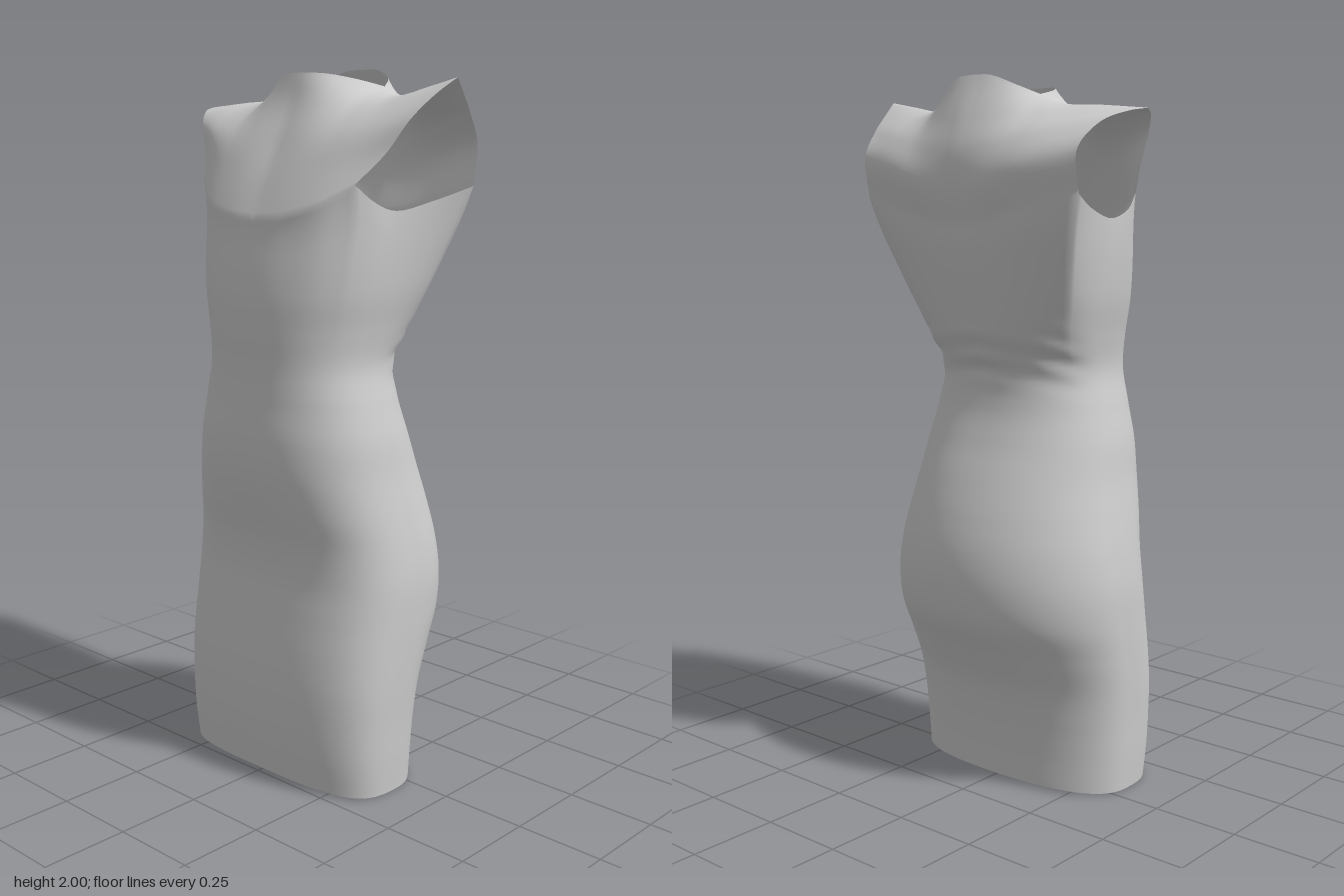
import * as THREE from 'three';
import { mergeGeometries, mergeVertices } from 'three/addons/utils/BufferGeometryUtils.js';

const N = 18;        // segments across one panel (a third of a half ring)
const ROWS = 120;    // rows of the fitted tube
const TOP = 1.62;    // nominal height of the tube
const SHIFT = 0.006; // slight sideways drape
const V = (p) => new THREE.Vector3(...p);
const curve = (...pts) => new THREE.CatmullRomCurve3(pts.map(V), false, 'centripetal');
const smooth = THREE.MathUtils.smoothstep;

// Half width, front z, back z for every 0.1 of height
const body = new THREE.CatmullRomCurve3([
  [0.36, 0.25, -0.125], [0.366, 0.262, -0.132], [0.37, 0.267, -0.145], [0.375, 0.266, -0.168],
  [0.379, 0.258, -0.215], [0.382, 0.246, -0.268], [0.381, 0.236, -0.287], [0.369, 0.242, -0.283],
  [0.35, 0.266, -0.26], [0.329, 0.285, -0.225], [0.313, 0.29, -0.184], [0.288, 0.284, -0.152],
  [0.265, 0.282, -0.147], [0.273, 0.288, -0.185], [0.29, 0.293, -0.203], [0.302, 0.286, -0.222],
  [0.315, 0.258, -0.25], [0.33, 0.212, -0.268], [0.34, 0.16, -0.272]].map(V), false, 'catmullrom');

// Upper rim of the tube: chest, underarm, back
const chest = curve([0, 1.6, 0.258], [0.09, 1.605, 0.255], [0.2, 1.635, 0.228], [0.288, 1.69, 0.168]);
const underarm = curve([0.288, 1.69, 0.168], [0.305, 1.645, 0.11], [0.312, 1.62, 0.03], [0.34, 1.645, -0.1], [0.382, 1.68, -0.21]);
const backRim = curve([0.382, 1.68, -0.21], [0.22, 1.645, -0.25], [0.1, 1.61, -0.252], [0, 1.6, -0.25]);
const rim = (t) => {
  const k = Math.min(2, Math.floor(t * 3 + 1e-6));
  return [chest, underarm, backRim][k].getPoint(Math.min(1, Math.max(0, t * 3 - k)));
};

// Grid of points f(u, v) on one side of the dress, mirrored by s
function grid(nu, nv, s, flip, f) {
  const pos = [], index = [];
  for (let j = 0; j <= nv; j++) for (let i = 0; i <= nu; i++) {
    const p = f(i / nu, j / nv);
    pos.push(s * p.x + SHIFT, p.y, p.z);
  }
  for (let j = 0; j < nv; j++) for (let i = 0; i < nu; i++) {
    const a = j * (nu + 1) + i, b = a + 1, c = a + nu + 1, d = c + 1;
    if ((s > 0) !== flip) index.push(a, b, d, a, d, c);
    else index.push(a, d, b, a, c, d);
  }
  const g = new THREE.BufferGeometry();
  g.setAttribute('position', new THREE.Float32BufferAttribute(pos, 3));
  g.setIndex(index);
  return g;
}

// Skirt and waist: rounded sections whose rows bend gradually into the rim
function tubePoint(t, v) {
  const a = t * Math.PI, cos = Math.cos(a), end = rim(t);
  const w = Math.max(0, (v * TOP - 1.15) / (TOP - 1.15)) ** 2;
  const y = v * TOP + (end.y - TOP) * w;
  const r = body.getPoint(y / 1.8);
  // square front on the skirt, round seat, broad upper back
  const square = cos > 0
    ? 3.2 - 0.75 * smooth(y, 0.5, 1.1)
    : 2.35 - 0.4 * Math.exp(-(((y - 0.7) / 0.3) ** 2)) + 0.6 * smooth(y, 1.2, 1.5);
  const e = 2 / square;
  const mid = (r.y + r.z) / 2, half = (r.y - r.z) / 2;
  const p = new THREE.Vector3(
    t === 1 ? 0 : r.x * Math.sin(a) ** e, y,
    mid + half * Math.sign(cos) * Math.abs(cos) ** e);
  p.x += (end.x - p.x) * w;
  p.z += (end.z - p.z) * w;
  // gathered folds at the back of the waist
  const gather = smooth(-cos, 0, 0.6) * Math.exp(-(((y - 1.24) / 0.065) ** 2));
  p.z += 0.006 * gather * Math.sin(y * 85 + p.x * p.x * 70) * (0.7 + 0.3 * Math.cos(p.x * 25));
  // hem lifts slightly at the front and back
  p.y += 0.014 * cos * cos * (1 - v) ** 20;
  return p;
}

// Coons patch between four edges; the neckline detail fades quickly below the
// top edge, and a soft bulge rounds the cloth over the shoulder
function patch(bottom, top, inner, outer, bulge) {
  const c00 = bottom(0), c10 = bottom(1), c01 = top(0), c11 = top(1);
  return (u, v) => {
    const line = c01.clone().lerp(c11, u);
    return inner(v).multiplyScalar(1 - u)
      .addScaledVector(outer(v), u)
      .addScaledVector(bottom(u), 1 - v)
      .addScaledVector(c00, -(1 - u) * (1 - v))
      .addScaledVector(c10, -u * (1 - v))
      .addScaledVector(top(u).sub(line), v ** 4)
      .addScaledVector(bulge, Math.sin(Math.PI * u) * v * (1 - v) * 4);
  };
}

function sideParts(s) {
  const lift = s > 0 ? 0.06 : 0; // the left shoulder tip flicks up
  const tip = [0.463, 1.9 + lift, -0.028];
  const neckSide = [0.16, 1.947, -0.095];
  const shoulder = curve(neckSide, [0.215, 1.922, -0.085], [0.34, 1.912 + lift * 0.45, -0.055], tip);
  const neckFront = curve([0, 1.983, 0.083], [0.04, 1.982, 0.079], [0.09, 1.978, 0.053], [0.14, 1.963, -0.015], neckSide);
  const neckBack = curve([0, 2, -0.188], [0.06, 1.997, -0.182], [0.12, 1.972, -0.155], neckSide);
  const topEdge = (neck) => (u) => (u <= 0.5 ? neck.getPoint(u * 2) : shoulder.getPoint(u * 2 - 1));
  const centreFront = curve([0, 1.6, 0.258], [0, 1.7, 0.212], [0, 1.8, 0.158], [0, 1.9, 0.108], [0, 1.983, 0.083]);
  const centreBack = curve([0, 1.6, -0.25], [0, 1.7, -0.268], [0, 1.79, -0.267], [0, 1.88, -0.24], [0, 2, -0.188]);
  const armFront = curve([0.288, 1.69, 0.168], [0.345, 1.77, 0.112], [0.395, 1.85 + lift * 0.1, 0.075], [0.435, 1.888 + lift * 0.5, 0.025], tip);
  const armBack = curve([0.382, 1.68, -0.21], [0.384, 1.79, -0.223], [0.408, 1.86 + lift * 0.1, -0.16], [0.44, 1.89 + lift * 0.5, -0.085], tip);
  const front = patch((u) => chest.getPoint(u), topEdge(neckFront),
    (v) => centreFront.getPoint(v), (v) => armFront.getPoint(v), V([0, 0.008, 0.018]));
  const back = patch((u) => backRim.getPoint(1 - u), topEdge(neckBack),
    (v) => centreBack.getPoint(v), (v) => armBack.getPoint(v), V([0, 0.004, -0.016]));
  return [
    grid(N * 3, ROWS, s, false, tubePoint),
    grid(N, 30, s, false, front),
    grid(N, 30, s, true, back),
  ];
}

export function createModel() {
  const group = new THREE.Group();
  group.name = 'dress';
  // All panels are welded so the cloth shades without seams
  const cloth = mergeVertices(mergeGeometries([...sideParts(1), ...sideParts(-1)]), 1e-4);
  cloth.computeVertexNormals();
  const mesh = new THREE.Mesh(cloth, new THREE.MeshStandardMaterial({ color: 0xcccccc, side: THREE.DoubleSide }));
  mesh.name = 'dressCloth';
  group.add(mesh);
  return group;
}
